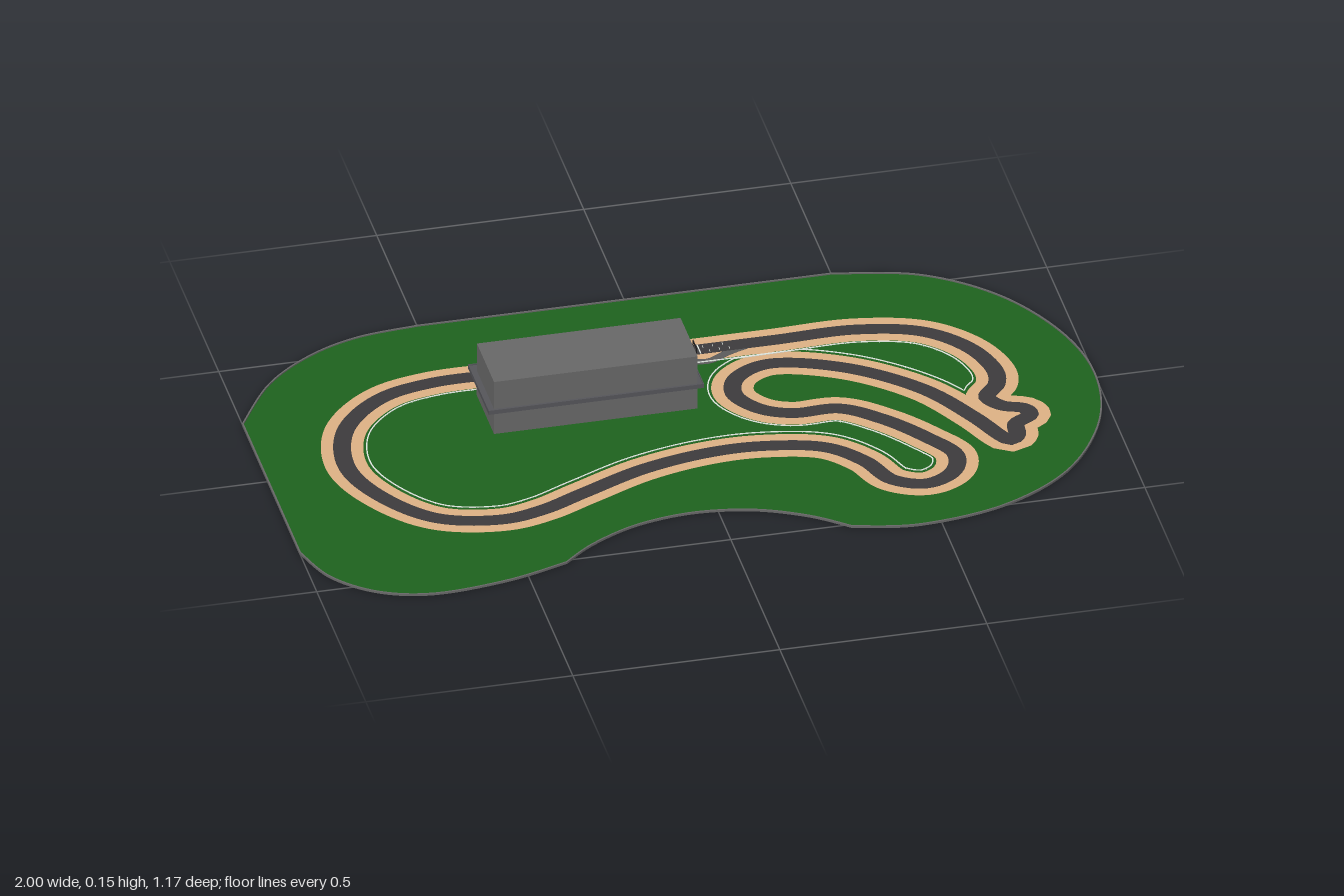
import * as THREE from 'three';

const mat = (color) => new THREE.MeshStandardMaterial({ color, side: THREE.DoubleSide });
const M = {
  grass: mat(0x1e621e), sand: mat(0xdeb285), asphalt: mat(0x3d3b3d), pit: mat(0x5c5c5c),
  wall: mat(0x686868), slab: mat(0x55555a), glass: mat(0x47646c), white: mat(0xdfe6df), black: mat(0x1c1c1c),
};
const V = (x, z) => new THREE.Vector2(x, z);
const pairs = (a) => a.map(([x, z]) => V(x, z));

function add(group, name, geometry, material, x = 0, y = 0, z = 0) {
  const mesh = new THREE.Mesh(geometry, material);
  mesh.name = name;
  mesh.position.set(x, y, z);
  group.add(mesh);
  return mesh;
}

function box(group, name, material, x0, x1, y0, y1, z0, z1) {
  return add(group, name, new THREE.BoxGeometry(x1 - x0, y1 - y0, z1 - z0), material,
    (x0 + x1) / 2, (y0 + y1) / 2, (z0 + z1) / 2);
}

// Sideways direction (right of travel) at each point of a path
function sides(pts, closed) {
  const n = pts.length;
  return pts.map((p, i) => {
    const a = closed ? pts[(i + n - 1) % n] : pts[Math.max(i - 1, 0)];
    const b = closed ? pts[(i + 1) % n] : pts[Math.min(i + 1, n - 1)];
    const t = b.clone().sub(a).normalize();
    return V(-t.y, t.x);
  });
}

// Flat strip with a rectangular section swept along a path on the ground
function ribbon(pts, half, y0, y1, closed = true) {
  const n = pts.length, s = sides(pts, closed), pos = [];
  const corner = (i, k) => {
    const w = k === 0 || k === 3 ? -half : half;
    return [pts[i].x + s[i].x * w, k < 2 ? y1 : y0, pts[i].y + s[i].y * w];
  };
  for (let i = 0; i < (closed ? n : n - 1); i++) {
    const j = (i + 1) % n;
    for (let k = 0; k < 4; k++) {
      const m = (k + 1) % 4;
      const a = corner(i, k), b = corner(i, m), c = corner(j, m), d = corner(j, k);
      pos.push(...a, ...b, ...c, ...a, ...c, ...d);
    }
  }
  const g = new THREE.BufferGeometry();
  g.setAttribute('position', new THREE.Float32BufferAttribute(pos, 3));
  g.computeVertexNormals();
  return g;
}

function groundShape() {
  const s = new THREE.Shape();
  s.moveTo(-1, -0.255);
  s.splineThru(pairs([[-0.9, -0.41], [-0.78, -0.51], [-0.65, -0.565], [-0.5, -0.583]]));
  s.lineTo(0.5, -0.583);
  s.splineThru(pairs([[0.7, -0.53], [0.86, -0.4], [0.965, -0.21], [1, -0.01], [0.96, 0.2],
    [0.84, 0.39], [0.66, 0.505], [0.45, 0.543], [0.29, 0.515]]));
  s.splineThru(pairs([[0.2, 0.445], [0.08, 0.39], [-0.06, 0.37], [-0.2, 0.392], [-0.32, 0.45], [-0.4, 0.515]]));
  s.splineThru(pairs([[-0.55, 0.56], [-0.73, 0.578], [-0.86, 0.54], [-0.955, 0.45], [-1, 0.33]]));
  s.closePath();
  return s;
}

// Centre line of the circuit, clockwise from the back straight
const CIRCUIT = [
  [-0.53, -0.33], [-0.3, -0.33], [0, -0.33], [0.3, -0.33], [0.5, -0.33], [0.65, -0.285], [0.74, -0.19],
  [0.775, -0.08], [0.765, -0.02], [0.73, 0.03], [0.755, 0.075], [0.805, 0.1], [0.81, 0.13], [0.77, 0.16],
  [0.76, 0.21], [0.74, 0.23], [0.725, 0.21], [0.68, 0.11], [0.59, -0.04], [0.43, -0.175], [0.26, -0.23],
  [0.175, -0.185], [0.155, -0.115], [0.2, -0.04], [0.27, -0.005], [0.38, 0], [0.47, 0.07], [0.55, 0.17],
  [0.6, 0.26], [0.575, 0.335], [0.505, 0.37], [0.43, 0.335], [0.385, 0.24], [0.31, 0.16], [0.165, 0.12],
  [0.03, 0.12], [-0.13, 0.155], [-0.29, 0.225], [-0.4, 0.275], [-0.5, 0.295], [-0.65, 0.255],
  [-0.755, 0.135], [-0.805, -0.01], [-0.77, -0.175], [-0.66, -0.29],
];

function smoothPath(points, closed, count) {
  const curve = new THREE.CatmullRomCurve3(points.map(([x, z]) => new THREE.Vector3(x, 0, z)), closed);
  const pts = curve.getSpacedPoints(count).map((p) => V(p.x, p.z));
  if (closed) pts.pop();
  return pts;
}

function buildBuilding() {
  const g = new THREE.Group();
  g.name = 'pitBuilding';
  const x0 = -0.435, x1 = 0.057;
  box(g, 'lowerFloor', M.wall, x0, x1, 0.002, 0.064, -0.256, -0.078);
  box(g, 'balconySlab', M.slab, -0.45, 0.07, 0.064, 0.072, -0.28, -0.068);
  box(g, 'upperFloor', M.wall, x0, x1, 0.072, 0.147, -0.253, -0.078);
  // Window bays on the track side
  const bays = 10, w = (x1 - x0) / bays;
  for (let i = 0; i < bays; i++) {
    const a = x0 + i * w + 0.004, b = x0 + (i + 1) * w - 0.004;
    box(g, 'garageWindow', M.glass, a, b, 0.008, 0.056, -0.258, -0.255);
    box(g, 'upperWindow', M.glass, a, b, 0.082, 0.132, -0.256, -0.252);
  }
  // Balcony rail
  for (const z of [-0.279, -0.069]) box(g, 'balconyRail', M.slab, -0.45, 0.07, 0.072, 0.075, z - 0.001, z + 0.001);
  for (const x of [-0.449, 0.069]) box(g, 'balconyRail', M.slab, x - 0.001, x + 0.001, 0.072, 0.075, -0.28, -0.068);
  return g;
}

function buildGantry() {
  const g = new THREE.Group();
  g.name = 'startGantry';
  const x = 0.108, r = 0.0012;
  for (const z of [-0.342, -0.307]) box(g, 'gantryPost', M.black, x - r, x + r, 0.002, 0.023, z - r, z + r);
  box(g, 'gantryBeam', M.black, x - r, x + r, 0.021, 0.024, -0.343, -0.306);
  // Start line and staggered grid slots
  box(g, 'startLine', M.white, 0.118, 0.121, 0.003, 0.0045, -0.35, -0.31);
  for (let i = 0; i < 6; i++) {
    const z = i % 2 ? -0.32 : -0.34;
    box(g, 'gridSlot', M.white, 0.13 + i * 0.012, 0.1315 + i * 0.012, 0.003, 0.0045, z - 0.005, z + 0.005);
  }
  return g;
}

export function createModel() {
  const root = new THREE.Group();
  root.name = 'raceCircuit';

  // Grass plate with a thin boundary wall
  const shape = groundShape();
  const plate = new THREE.ExtrudeGeometry(shape, { depth: 0.0016, bevelEnabled: false, curveSegments: 10 });
  plate.rotateX(Math.PI / 2).translate(0, 0.0028, 0);
  add(root, 'grass', plate, M.grass);
  const outline = shape.getPoints(10).filter((p, i, a) => i === 0 || p.distanceTo(a[i - 1]) > 1e-4);
  if (outline[0].distanceTo(outline[outline.length - 1]) < 1e-4) outline.pop();
  add(root, 'boundaryWall', ribbon(outline, 0.002, 0.0005, 0.006), M.wall);

  // Run-off, road and pit lane pass through the plate so they also show underneath
  const path = smoothPath(CIRCUIT, true, 500);
  add(root, 'sandRunOff', ribbon(path, 0.05, 0.0007, 0.0032), M.sand);
  add(root, 'trackRoad', ribbon(path, 0.021, 0, 0.004), M.asphalt);
  const pit = smoothPath([[-0.38, -0.33], [-0.32, -0.317], [-0.24, -0.289], [-0.15, -0.283], [-0.02, -0.283],
    [0.08, -0.283], [0.13, -0.275], [0.18, -0.3], [0.26, -0.33]], false, 50);
  add(root, 'pitLane', ribbon(pit, 0.011, 0.0003, 0.0036, false), M.pit);

  // Infield guard rail, dropped where the circuit folds onto itself
  const s = sides(path, true), off = 0.058;
  const rail = path.map((p, i) => p.clone().addScaledVector(s[i], off))
    .filter((q) => path.every((p) => p.distanceTo(q) > off * 0.97));
  add(root, 'guardRail', ribbon(rail, 0.0016, 0.0045, 0.006), M.white);
  const post = new THREE.BoxGeometry(0.002, 0.004, 0.002);
  rail.forEach((p, i) => { if (i % 4 === 0) add(root, 'railPost', post, M.white, p.x, 0.004, p.y); });

  root.add(buildBuilding(), buildGantry());
  return root;
}
